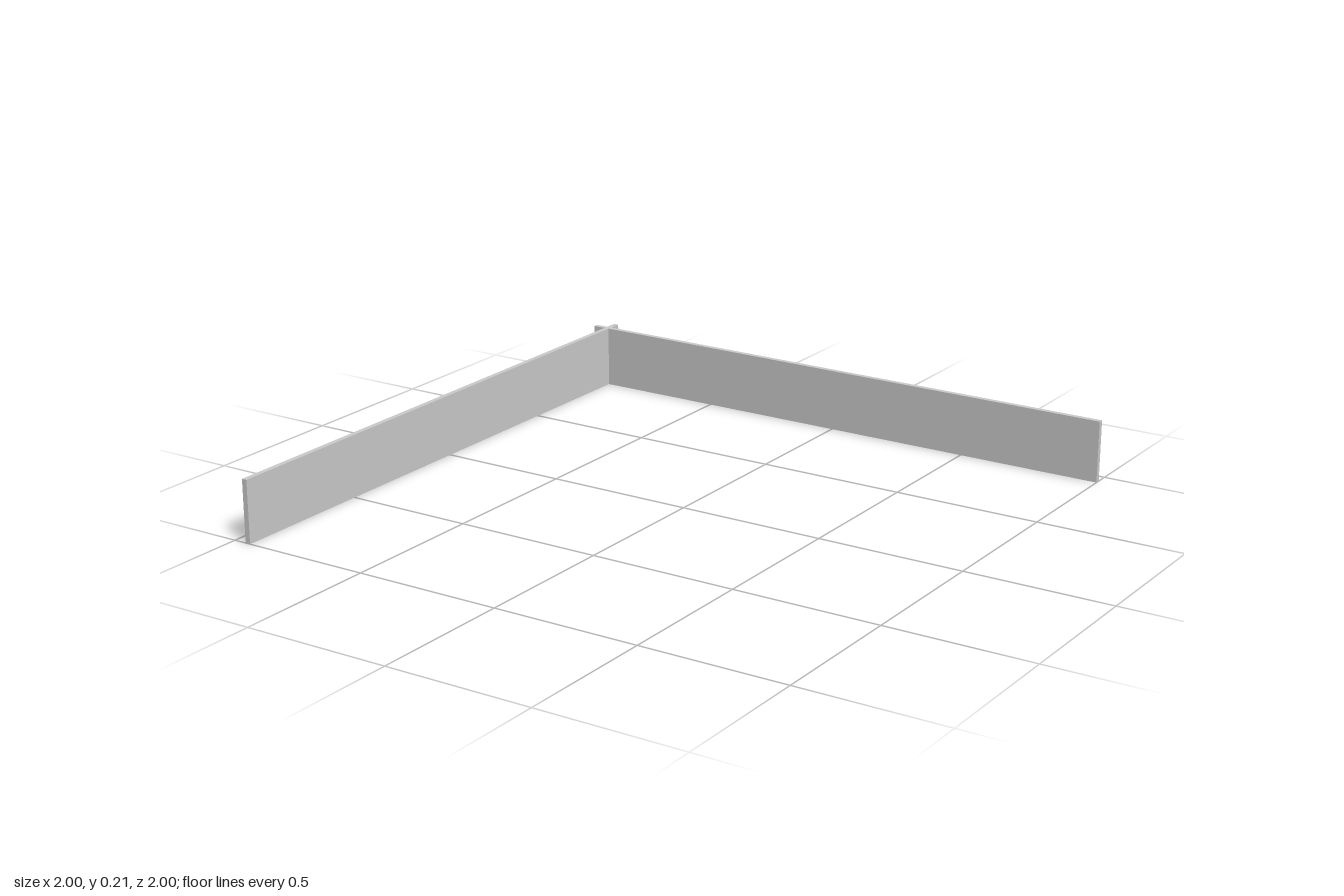
import * as THREE from 'three';

const LENGTH = 2, HEIGHT = 0.21, THICK = 0.018;
const CROSSING = -0.947; // centre line of each board, near the corner

export function createModel() {
  const group = new THREE.Group();
  group.name = 'crossedBoards';
  const material = new THREE.MeshStandardMaterial({ color: 0xcccccc, flatShading: true });

  const addBoard = (name, sx, sz, x, z) => {
    const board = new THREE.Mesh(new THREE.BoxGeometry(sx, HEIGHT, sz), material);
    board.name = name;
    board.position.set(x, HEIGHT / 2, z);
    group.add(board);
  };

  // Two upright boards crossing at the back right corner
  addBoard('backBoard', LENGTH, THICK, 0, CROSSING);
  addBoard('sideBoard', THICK, LENGTH, CROSSING, 0);

  return group;
}
